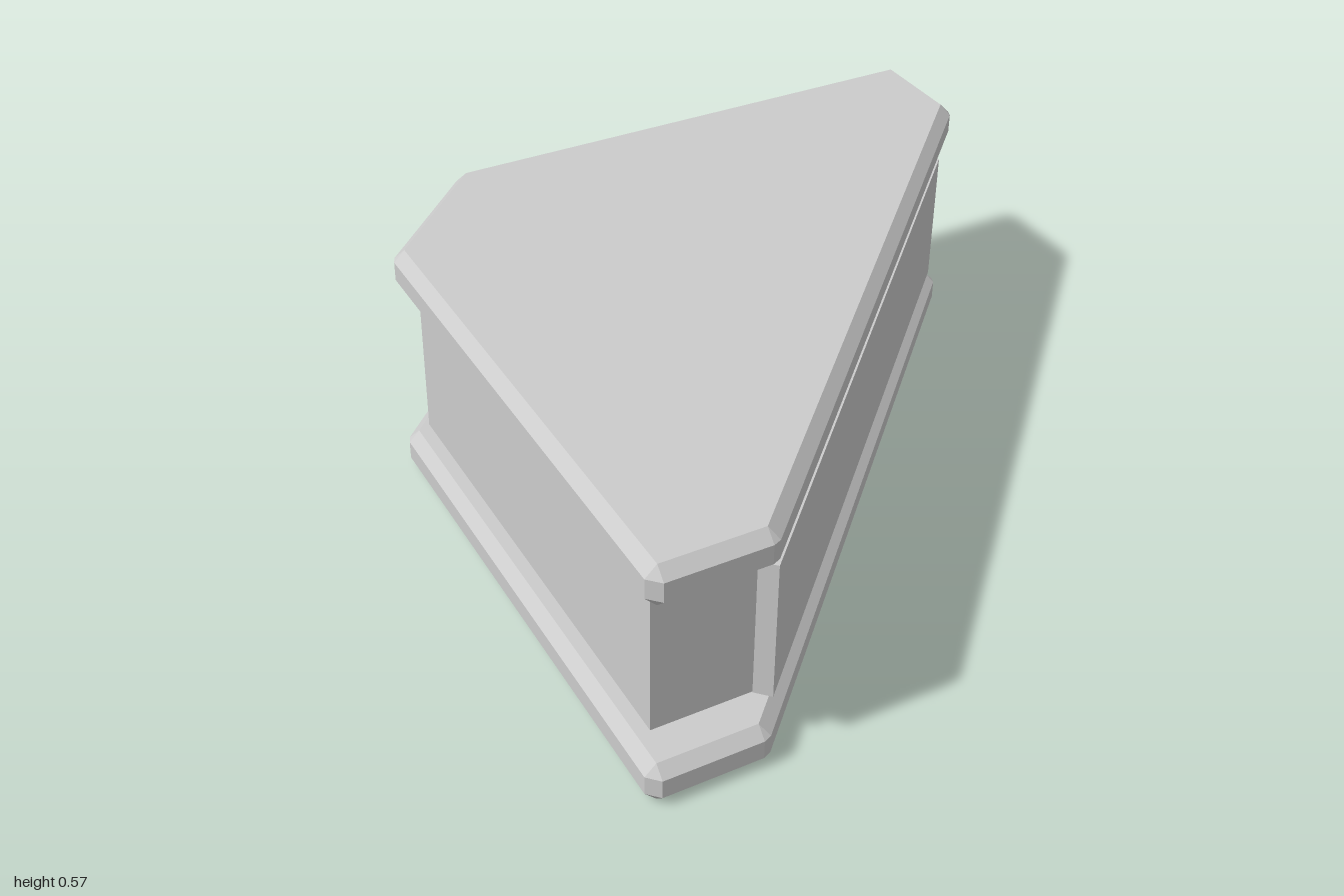
import * as THREE from 'three';
import { ConvexGeometry } from 'three/addons/geometries/ConvexGeometry.js';

const material = new THREE.MeshStandardMaterial({ color: 0xcccccc, flatShading: true });

// Six-sided footprint, mirrored in z, listed counter-clockwise as [x, z]
const mirrorOutline = (half) => [...half, ...half.map(([x, z]) => [x, -z]).reverse()];

function addMesh(group, name, geometry, y = 0) {
  const mesh = new THREE.Mesh(geometry, material);
  mesh.name = name;
  mesh.position.y = y;
  group.add(mesh);
  return mesh;
}

// Slab with every edge chamfered, corners included
function chamferedPlate(outline, height, bevel) {
  const points = [];
  const n = outline.length;
  outline.forEach(([x, z], i) => {
    // flat top and bottom faces
    points.push(new THREE.Vector3(x, 0, z), new THREE.Vector3(x, height, z));
    // each corner pushed out along the normals of its two sides
    for (const [a, b] of [[outline[(i + n - 1) % n], [x, z]], [[x, z], outline[(i + 1) % n]]]) {
      const dx = b[0] - a[0], dz = b[1] - a[1], length = Math.hypot(dx, dz);
      const px = x - (dz / length) * bevel, pz = z + (dx / length) * bevel;
      points.push(new THREE.Vector3(px, bevel, pz), new THREE.Vector3(px, height - bevel, pz));
    }
  });
  return new ConvexGeometry(points);
}

export function createModel() {
  const model = new THREE.Group();
  model.name = 'wedgeBlock';

  // Bottom and top plates
  const plateOutline = mirrorOutline([[-0.48, 0.175], [0.328, 0.982], [0.48, 0.83]]);
  const plate = chamferedPlate(plateOutline, 0.092, 0.0245);
  addMesh(model, 'bottomPlate', plate);
  addMesh(model, 'topPlate', plate, 0.474);

  // Core between the plates, with a slim gap above and below
  const coreOutline = mirrorOutline([[-0.462, 0.158], [0.295, 0.915], [0.455, 0.755]]);
  const coreShape = new THREE.Shape(coreOutline.map(([x, z]) => new THREE.Vector2(x, z)));
  const core = new THREE.ExtrudeGeometry(coreShape, { depth: 0.364, bevelEnabled: false });
  core.rotateX(-Math.PI / 2);
  addMesh(model, 'core', core, 0.101);

  // Raised panel on the long side
  const panel = addMesh(model, 'sidePanel', new THREE.BoxGeometry(0.04, 0.32, 1.57), 0.283);
  panel.position.x = 0.475;

  return model;
}
